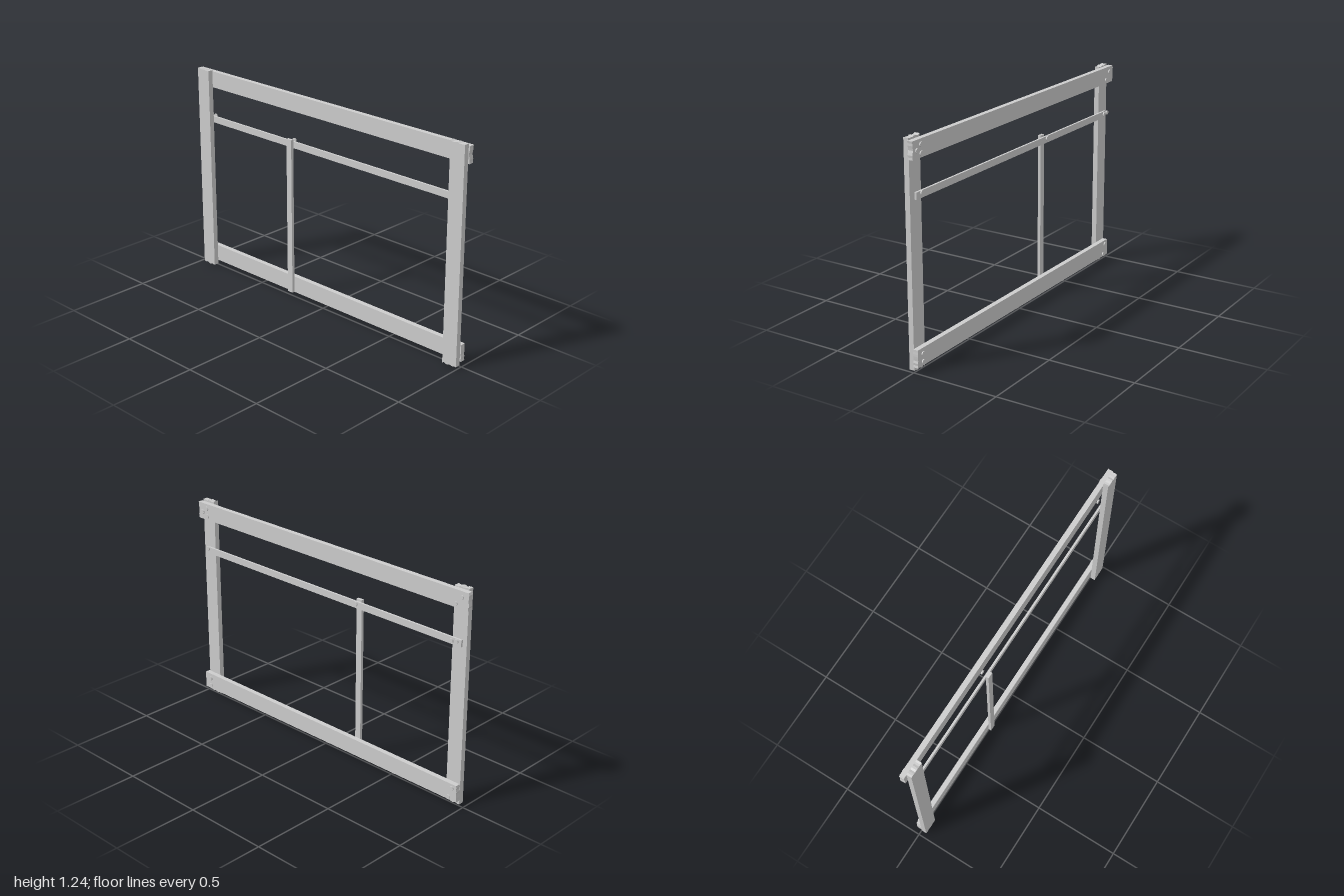
import * as THREE from 'three';

const wood = new THREE.MeshStandardMaterial({ color: 0xcccccc, flatShading: true });

// Small seeded generator for the rough-sawn ends
let seed = 7;
const rand = () => (seed = (seed * 16807) % 2147483647) / 2147483647;

// Flat board in the z-y plane, x0..x1 thick; the two short ends are ragged by `rough`
function board(name, x0, x1, z0, z1, y0, y1, rough = 0) {
  const upright = y1 - y0 > z1 - z0;
  const [a0, a1, b0, b1] = upright ? [y0, y1, z0, z1] : [z0, z1, y0, y1];
  const steps = rough ? 8 : 1;
  const pts = [];
  const add = (a, b) => pts.push(upright ? new THREE.Vector2(-b, a) : new THREE.Vector2(-a, b));
  for (let i = 0; i <= steps; i++) add(a0 + rough * rand(), b0 + ((b1 - b0) * i) / steps);
  for (let i = steps; i >= 0; i--) add(a1 - rough * rand(), b0 + ((b1 - b0) * i) / steps);
  const geo = new THREE.ExtrudeGeometry(new THREE.Shape(pts), { depth: x1 - x0, bevelEnabled: false });
  geo.rotateY(Math.PI / 2).translate(x0, 0, 0);
  const mesh = new THREE.Mesh(geo, wood);
  mesh.name = name;
  return mesh;
}

export function createModel() {
  seed = 7;
  const gate = new THREE.Group();
  gate.name = 'fenceFrame';

  gate.add(
    // Uprights behind the rails
    board('frontPost', -0.033, -0.003, 0.898, 0.99, 0, 1.238, 0.009),
    board('backPost', -0.033, -0.003, -0.973, -0.882, 0, 1.234, 0.009),
    board('thinUpright', -0.02, -0.003, -0.262, -0.225, 0.03, 0.962),
    // Rails across the face
    board('topRail', -0.003, 0.026, -0.998, 1, 1.126, 1.222, 0.008),
    board('bottomRail', -0.003, 0.026, -0.975, 1, 0.03, 0.128, 0.006),
    board('middleRail', -0.003, 0.009, -0.947, 0.952, 0.912, 0.95),
  );

  // Nail heads as [z, y]
  const nails = [
    [0.93, 1.193], [0.963, 1.168], [0.928, 1.147],
    [-0.952, 1.19], [-0.914, 1.147],
    [0.93, 0.948], [-0.246, 0.946], [-0.898, 0.941], [-0.93, 0.946],
    [0.952, 0.096], [0.952, 0.051], [-0.941, 0.104], [-0.922, 0.045],
  ];
  const nailGeo = new THREE.CylinderGeometry(0.013, 0.013, 0.007, 12).rotateZ(Math.PI / 2);
  for (const [z, y] of nails) {
    const nail = new THREE.Mesh(nailGeo, wood);
    nail.name = 'nailHead';
    nail.position.set(0.0285, y, z);
    gate.add(nail);
  }
  return gate;
}
